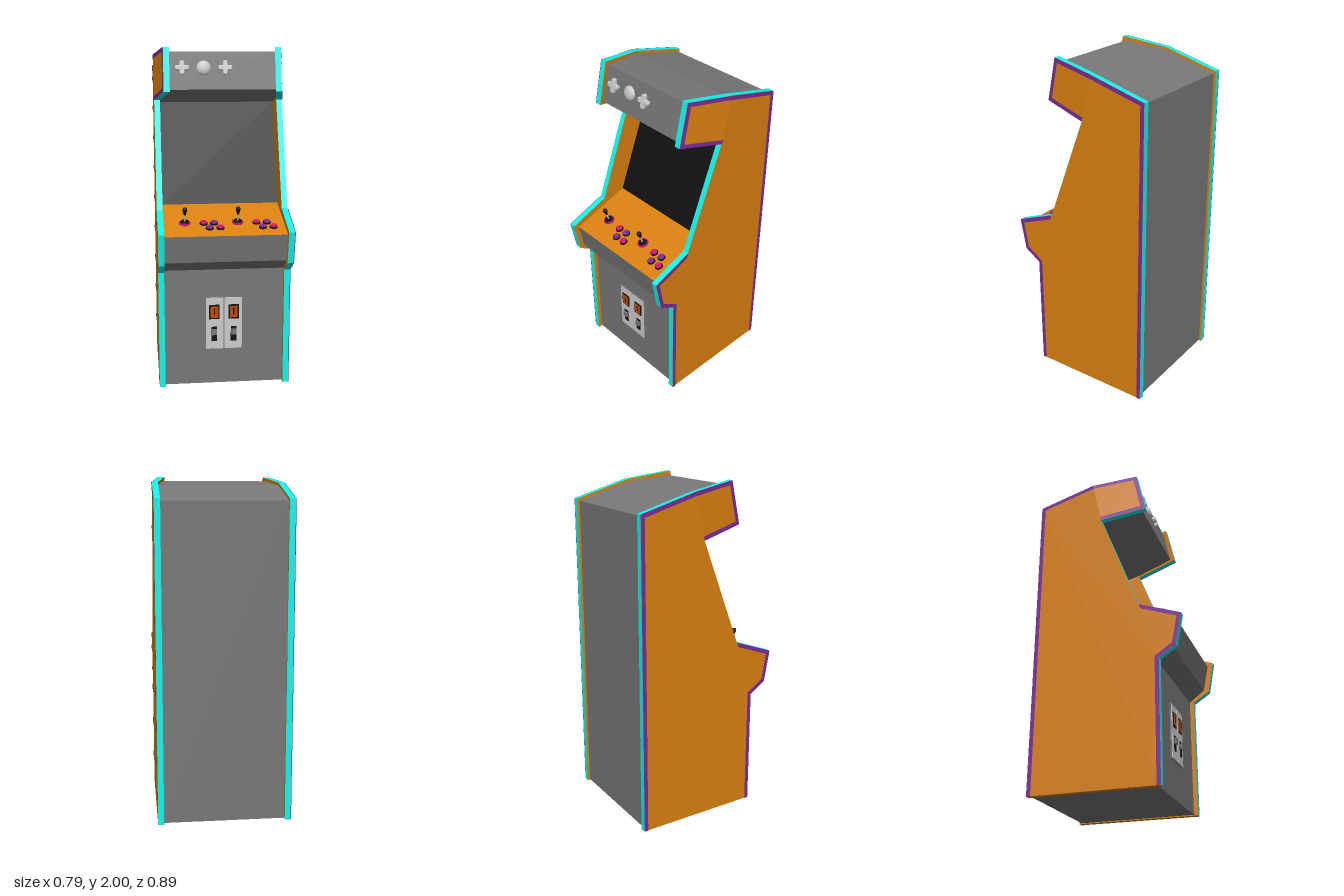
import * as THREE from 'three';

const mat = (color) => new THREE.MeshStandardMaterial({ color, side: THREE.DoubleSide });
const GREY = mat(0x777777), LIGHT = mat(0xcccccc), ORANGE = mat(0xd98010), CYAN = mat(0x10f5ec);
const PURPLE = mat(0x7a2a9a), PINK = mat(0xd0107a), BLACK = mat(0x101010), AMBER = mat(0xc24a08);

function add(parent, name, geometry, material, x = 0, y = 0, z = 0) {
  const mesh = new THREE.Mesh(geometry, material);
  mesh.name = name;
  mesh.position.set(x, y, z);
  parent.add(mesh);
  return mesh;
}

function group(parent, name, x = 0, y = 0, z = 0) {
  const g = new THREE.Group();
  g.name = name;
  g.position.set(x, y, z);
  parent.add(g);
  return g;
}

// Flat-shaded geometry from a list of corner triples
function fromTriangles(corners) {
  const g = new THREE.BufferGeometry();
  g.setAttribute('position', new THREE.Float32BufferAttribute(corners.flat(), 3));
  g.computeVertexNormals();
  return g;
}
const quad = (a, b, c, d) => [a, b, c, a, c, d];

// Side outline as [z, y], from the front foot over the head to the back foot
const OUTLINE = [
  [0.315, 0], [0.315, 0.71], [0.415, 0.775], [0.45, 0.965], [0.2, 1.06], [-0.04, 1.69],
  [0.23, 1.75], [0.175, 2], [-0.1, 1.96], [-0.445, 1.865], [-0.445, 0],
];
const INNER = 0.355, OUTER = 0.39;

// The head cheeks fold inward ahead of a crease
function bend([z, y]) {
  if (y < 1.6) return 0;
  return 0.18 * Math.max(0, (0.27 * (z + 0.1) + 0.06 * (y - 1.96)) / 0.2766);
}
const at = (p, x) => [x - bend(p), p[1], p[0]];

// Outline moved inward, with a separate width for each edge
function insetOutline(widths) {
  const n = OUTLINE.length;
  const normals = OUTLINE.map((p, i) => {
    const q = OUTLINE[(i + 1) % n];
    const len = Math.hypot(q[0] - p[0], q[1] - p[1]);
    return [-(q[1] - p[1]) / len, (q[0] - p[0]) / len];
  });
  return OUTLINE.map((p, i) => {
    const j = (i + n - 1) % n, [ax, ay] = normals[j], [bx, by] = normals[i];
    const det = ax * by - ay * bx, wa = widths[j], wb = widths[i];
    return [p[0] + (wa * by - wb * ay) / det, p[1] + (wb * ax - wa * bx) / det];
  });
}

function sidePanel(parent, name) {
  const g = group(parent, name);
  const n = OUTLINE.length;

  // Outer and inner boards: body and folded cheek
  const faces = [];
  for (const ids of [[0, 1, 2, 3, 4, 5, 8, 9, 10], [5, 6, 7, 8]]) {
    const pts = ids.map((i) => new THREE.Vector2(...OUTLINE[i]));
    for (const tri of THREE.ShapeUtils.triangulateShape(pts, [])) {
      const [a, b, c] = tri.map((k) => OUTLINE[ids[k]]);
      const clockwise = (b[0] - a[0]) * (c[1] - a[1]) - (b[1] - a[1]) * (c[0] - a[0]) < 0;
      const [p, q, r] = clockwise ? [a, b, c] : [a, c, b];
      faces.push(at(p, OUTER), at(q, OUTER), at(r, OUTER), at(p, INNER), at(r, INNER), at(q, INNER));
    }
  }
  const first = OUTLINE[0], last = OUTLINE[n - 1];
  faces.push(...quad(at(first, INNER), at(last, INNER), at(last, OUTER), at(first, OUTER)));
  add(g, 'sideBoard', fromTriangles(faces), ORANGE);

  // Edge trim all round, face trim except beside the screen and at the floor
  const widths = OUTLINE.map((_, i) => (i === 4 || i === n - 1 ? 0 : 0.024));
  const inset = insetOutline(widths);
  const edge = [], face = [];
  for (let i = 0; i < n - 1; i++) {
    const a = OUTLINE[i], b = OUTLINE[i + 1];
    edge.push(...quad(at(a, INNER), at(a, OUTER), at(b, OUTER), at(b, INNER)));
    if (widths[i]) {
      const x = OUTER + 0.003;
      face.push(...quad(at(a, x), at(inset[i], x), at(inset[i + 1], x), at(b, x)));
    }
  }
  add(g, 'edgeTrim', fromTriangles(edge), CYAN);
  add(g, 'faceTrim', fromTriangles(face), PURPLE);
  return g;
}

// Panels spanning the cabinet along a [z, y] profile
function spanPanel(parent, name, material, profile) {
  const tris = [];
  for (let i = 0; i + 1 < profile.length; i++) {
    const a = profile[i], b = profile[i + 1];
    const wa = INNER - bend(a), wb = INNER - bend(b);
    tris.push(...quad([-wa, a[1], a[0]], [wa, a[1], a[0]], [wb, b[1], b[0]], [-wb, b[1], b[0]]));
  }
  add(parent, name, fromTriangles(tris), material);
}

function joystick(parent, x, z) {
  const g = group(parent, 'joystick', x, 0, z);
  add(g, 'joystickRing', new THREE.CylinderGeometry(0.032, 0.034, 0.008, 24), PINK, 0, 0.004, 0);
  add(g, 'dustWasher', new THREE.CylinderGeometry(0.022, 0.027, 0.008, 24), BLACK, 0, 0.011, 0);
  add(g, 'joystickShaft', new THREE.CylinderGeometry(0.005, 0.005, 0.06, 12), LIGHT, 0, 0.04, 0);
  const bat = [[0, 0.055], [0.006, 0.056], [0.013, 0.083], [0.014, 0.092], [0.009, 0.102], [0, 0.105]];
  add(g, 'joystickHandle', new THREE.LatheGeometry(bat.map((p) => new THREE.Vector2(...p)), 16), BLACK);
}

function button(parent, x, z, material) {
  const g = group(parent, 'button', x, 0, z);
  add(g, 'buttonRim', new THREE.CylinderGeometry(0.022, 0.024, 0.008, 24), BLACK, 0, 0.004, 0);
  add(g, 'buttonCap', new THREE.CylinderGeometry(0.018, 0.02, 0.008, 24), material, 0, 0.011, 0);
}

function crossOrnament(parent, x, y) {
  const shape = new THREE.Shape();
  for (let i = 0; i < 4; i++) {
    const a = (i * Math.PI) / 2, c = Math.cos(a), s = Math.sin(a);
    for (const [px, py] of [[0.011, -0.011], [0.034, -0.009], [0.038, 0], [0.034, 0.009]]) {
      const u = px * c - py * s, v = px * s + py * c;
      if (i === 0 && py === -0.011) shape.moveTo(u, v);
      else shape.lineTo(u, v);
    }
  }
  const geo = new THREE.ExtrudeGeometry(shape, {
    depth: 0.008, bevelThickness: 0.008, bevelSize: 0.005, bevelSegments: 2,
  });
  add(parent, 'crossOrnament', geo, LIGHT, x, y, 0.006);
}

export function createModel() {
  const model = new THREE.Group();
  model.name = 'arcadeCabinet';

  sidePanel(model, 'leftSide');
  sidePanel(model, 'rightSide').scale.x = -1;

  // Shell between the sides
  spanPanel(model, 'lowerFront', GREY, [[0.29, 0.005], [0.29, 0.715], [0.385, 0.785], [0.415, 0.945]]);
  spanPanel(model, 'controlDeck', ORANGE, [[0.415, 0.945], [0.05, 1.065]]);
  spanPanel(model, 'screen', BLACK, [[0.05, 1.065], [-0.18, 1.67]]);
  spanPanel(model, 'marqueeUnderside', GREY, [[-0.18, 1.67], [-0.043, 1.704], [0.2, 1.76]]);
  spanPanel(model, 'marquee', GREY, [[0.2, 1.76], [0.155, 1.975]]);
  spanPanel(model, 'roofAndBack', GREY, [[0.155, 1.975], [-0.097, 1.945], [-0.43, 1.852], [-0.43, 0.005]]);
  spanPanel(model, 'floor', GREY, [[-0.43, 0.005], [0.29, 0.005]]);

  // Two sets of controls on the sloping deck
  const deck = group(model, 'controls', 0, 0.945, 0.415);
  deck.rotation.x = Math.atan2(0.12, 0.365);
  const along = (z) => (z - 0.415) / Math.cos(deck.rotation.x);
  for (const x of [-0.23, 0.081]) {
    joystick(deck, x, along(0.27));
    button(deck, x + 0.11, along(0.279), PINK);
    button(deck, x + 0.172, along(0.279), PURPLE);
    button(deck, x + 0.141, along(0.33), PURPLE);
    button(deck, x + 0.204, along(0.33), PINK);
  }

  // Marquee ornaments
  const sign = group(model, 'marqueeOrnaments', 0, 1.76, 0.2);
  sign.rotation.x = -Math.atan2(0.045, 0.215);
  crossOrnament(sign, -0.233, 0.125);
  crossOrnament(sign, 0.016, 0.125);
  add(sign, 'roundOrnament', new THREE.SphereGeometry(0.042, 24, 16), LIGHT, -0.108, 0.125, 0).scale.z = 0.5;

  // Coin door: two plates, each with a lit slot and a return flap
  const door = group(model, 'coinDoor', -0.002, 0.385, 0.29);
  add(door, 'doorFrame', new THREE.BoxGeometry(0.226, 0.33, 0.008), GREY, 0, 0, 0.003);
  for (const s of [-1, 1]) {
    const half = group(door, 'coinUnit', s * 0.055, 0, 0);
    add(half, 'doorPlate', new THREE.BoxGeometry(0.106, 0.318, 0.012), LIGHT, 0, 0, 0.005);
    add(half, 'slotFrame', new THREE.BoxGeometry(0.062, 0.088, 0.008), BLACK, s * 0.003, 0.072, 0.011);
    add(half, 'slotLight', new THREE.BoxGeometry(0.046, 0.07, 0.006), AMBER, s * 0.003, 0.072, 0.015);
    add(half, 'coinSlot', new THREE.BoxGeometry(0.007, 0.04, 0.004), BLACK, s * 0.003, 0.076, 0.018);
    add(half, 'returnRecess', new THREE.BoxGeometry(0.034, 0.09, 0.006), BLACK, s * 0.003, -0.066, 0.011);
    add(half, 'returnFlap', new THREE.BoxGeometry(0.03, 0.034, 0.016), GREY, s * 0.003, -0.052, 0.018);
  }
  return model;
}
